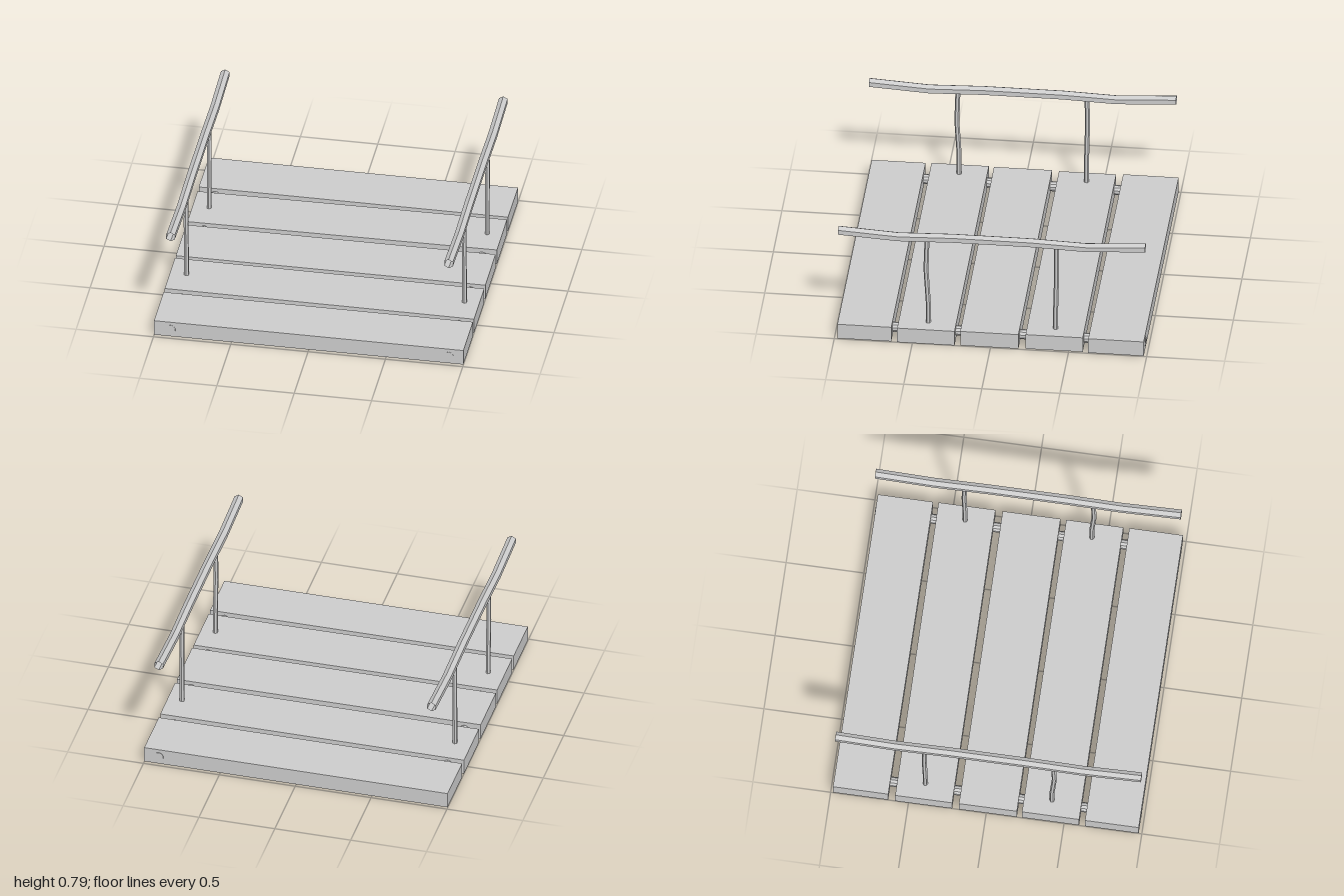
import * as THREE from 'three';

const solid = new THREE.MeshStandardMaterial({ color: 0xcccccc, flatShading: true });
const open = new THREE.MeshStandardMaterial({ color: 0xcccccc, flatShading: true, side: THREE.DoubleSide });

// Piecewise linear lookup through [position, value] pairs
function sample(points, t) {
  for (let i = 1; i < points.length; i++) {
    const [a, va] = points[i - 1], [b, vb] = points[i];
    if (t <= b) return THREE.MathUtils.lerp(va, vb, Math.max(0, (t - a) / (b - a)));
  }
  return points[points.length - 1][1];
}

function addMesh(group, name, geometry, material) {
  const mesh = new THREE.Mesh(geometry, material);
  mesh.name = name;
  group.add(mesh);
  return mesh;
}

// Hexagonal open tube along z whose height follows a profile of [z, y]
function railGeometry(radius, profile) {
  const n = profile.length - 1;
  const geometry = new THREE.CylinderGeometry(radius, radius, n, 6, n, true).rotateX(Math.PI / 2);
  const p = geometry.attributes.position;
  for (let i = 0; i < p.count; i++) {
    const [z, y] = profile[Math.round(p.getZ(i) + n / 2)];
    p.setZ(i, z);
    p.setY(i, p.getY(i) + y);
  }
  geometry.computeVertexNormals();
  return geometry;
}

// Hexagonal upright whose z follows a profile of [y, z]
function postGeometry(radius, profile) {
  const n = profile.length - 1;
  const geometry = new THREE.CylinderGeometry(radius, radius, n, 6, n, true);
  const p = geometry.attributes.position;
  for (let i = 0; i < p.count; i++) {
    const y = profile[Math.round(p.getY(i) + n / 2)][0];
    p.setY(i, y);
    p.setZ(i, p.getZ(i) + sample(profile, y));
  }
  geometry.computeVertexNormals();
  return geometry;
}

export function createModel() {
  const group = new THREE.Group();

  // Planks: back edge, front edge, slight roll and slight yaw
  const planks = [
    [-0.983, -0.628, 0, -0.002],
    [-0.588, -0.222, 0.004, 0.003],
    [-0.177, 0.195, 0, 0.002],
    [0.23, 0.597, -0.003, 0],
    [0.635, 0.98, 0, 0],
  ];
  planks.forEach(([back, front, roll, yaw], i) => {
    const plank = addMesh(group, `plank${i + 1}`, new THREE.BoxGeometry(2, 0.105, front - back), solid);
    plank.position.set(0, 0.0525, (back + front) / 2);
    plank.rotation.set(0, yaw, roll);
  });

  const railProfile = [[-0.983, 0.75], [-0.6, 0.727], [-0.25, 0.739], [0.25, 0.739], [0.6, 0.727], [0.983, 0.75]];
  const frontPost = [[0.06, 0.408], [0.25, 0.408], [0.5, 0.423], [0.725, 0.416]];
  const backPost = [[0.06, -0.406], [0.25, -0.407], [0.5, -0.413], [0.725, -0.411]];

  for (const [side, x] of [['left', 0.905], ['right', -0.893]]) {
    // Round bar threaded through all the planks
    const bar = addMesh(group, `${side}CrossBar`,
      new THREE.CylinderGeometry(0.032, 0.032, 1.966, 10).rotateX(Math.PI / 2), solid);
    bar.position.set(x, 0.052, -0.001);

    // Handrail and its two uprights
    addMesh(group, `${side}Handrail`, railGeometry(0.032, railProfile), open).position.x = x;
    addMesh(group, `${side}FrontPost`, postGeometry(0.016, frontPost), open).position.x = x;
    addMesh(group, `${side}BackPost`, postGeometry(0.016, backPost), open).position.x = x;
  }
  return group;
}
